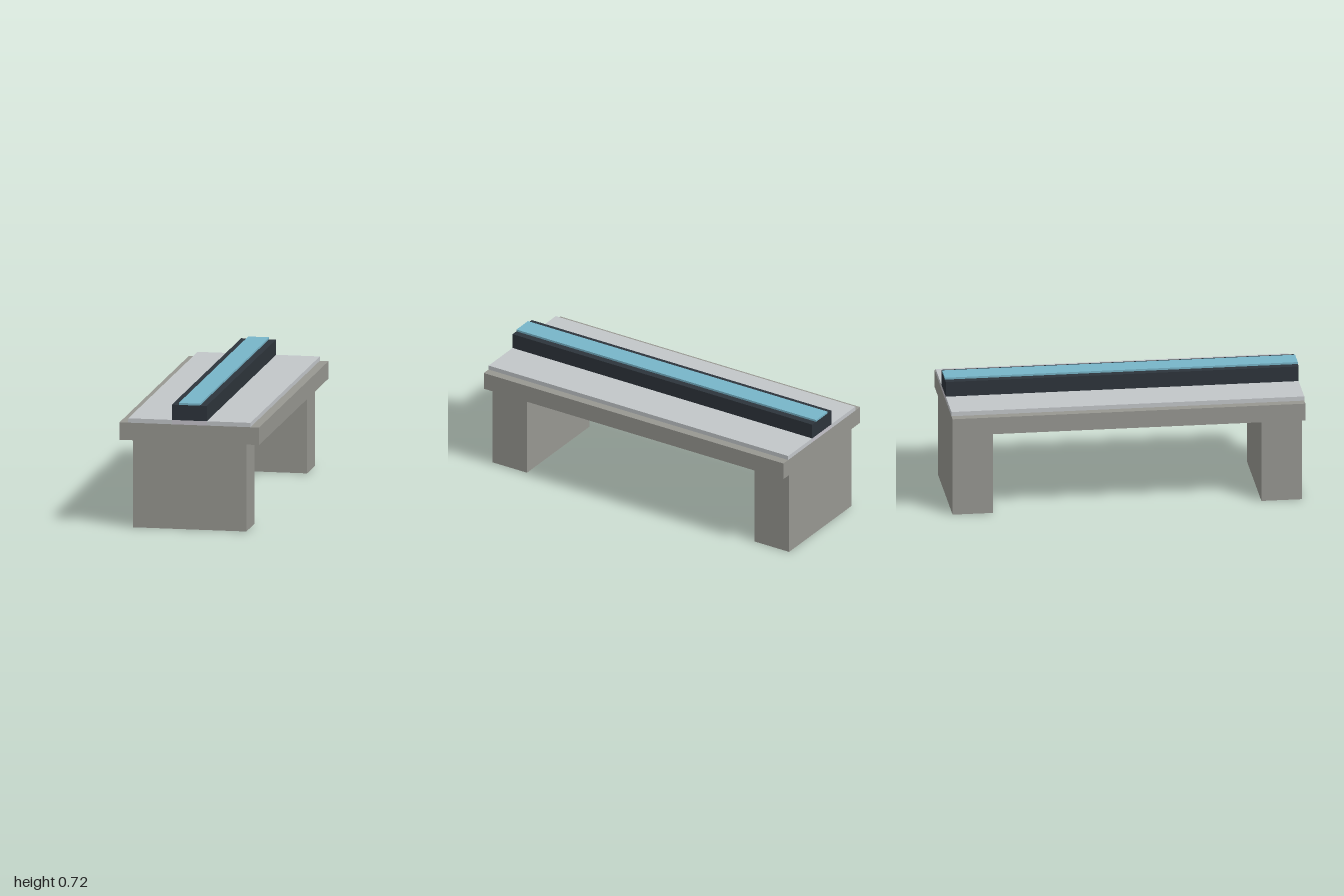
import * as THREE from 'three';

const material = (name, color) => {
  const m = new THREE.MeshStandardMaterial({ color });
  m.name = name;
  return m;
};

export function createModel() {
  const group = new THREE.Group();
  const concrete = material('concrete grey', 0x979791);
  const paleGrey = material('pale grey', 0xc2c6c9);
  const lilacGrey = material('lilac grey', 0xc5c2ca);
  const darkSteel = material('dark steel', 0x2d343b);
  const skyBlue = material('sky blue', 0x77b5c9);

  // Box given by its extents on each axis
  const box = (name, mat, [x0, x1], [y0, y1], [z0, z1]) => {
    const mesh = new THREE.Mesh(new THREE.BoxGeometry(x1 - x0, y1 - y0, z1 - z0), mat);
    mesh.position.set((x0 + x1) / 2, (y0 + y1) / 2, (z0 + z1) / 2);
    mesh.name = name;
    group.add(mesh);
  };
  const length = [-1, 1];

  // Supporting piers at both ends
  box('frontPier', concrete, [-0.325, 0.325], [0, 0.5], [0.76, 0.99]);
  box('backPier', concrete, [-0.325, 0.325], [0, 0.5], [-0.99, -0.76]);

  // Beam and the deck lying on it
  box('beam', concrete, [-0.4, 0.4], [0.5, 0.6], length);
  box('leftDeck', paleGrey, [0.1, 0.35], [0.6, 0.625], length);
  box('rightDeck', paleGrey, [-0.35, -0.1], [0.6, 0.625], length);
  box('railBed', lilacGrey, [-0.1, 0.1], [0.6, 0.625], length);

  // Raised guide rail with its coloured strip
  box('guideRail', darkSteel, [-0.1, 0.1], [0.625, 0.7125], length);
  box('railStrip', skyBlue, [-0.06, 0.06], [0.7125, 0.724], length);

  return group;
}
